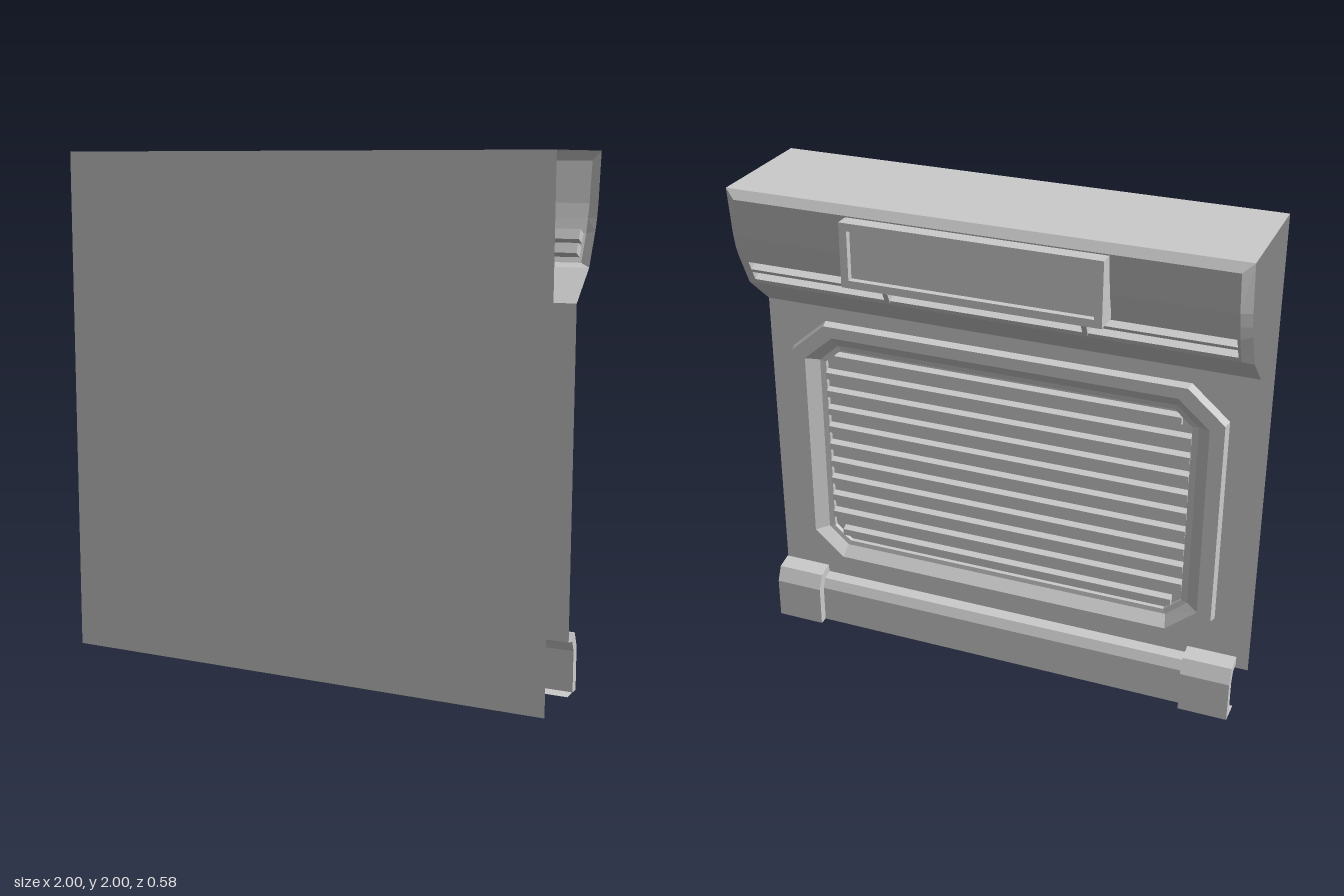
import * as THREE from 'three';

const material = new THREE.MeshStandardMaterial({ color: 0xcccccc, flatShading: true, side: THREE.DoubleSide });

// Surface through rows of [x, y, z] points
function loft(rows) {
  const pos = [];
  for (let i = 0; i < rows.length - 1; i++) {
    for (let j = 0; j < rows[i].length - 1; j++) {
      const a = rows[i][j], b = rows[i + 1][j], c = rows[i + 1][j + 1], d = rows[i][j + 1];
      pos.push(...a, ...b, ...c, ...a, ...c, ...d);
    }
  }
  const geo = new THREE.BufferGeometry();
  geo.setAttribute('position', new THREE.Float32BufferAttribute(pos, 3));
  geo.computeVertexNormals();
  return geo;
}

// Place a [z, y] profile at a given x
const at = (x, profile) => profile.map(([z, y]) => [x, y, z]);
const sweep = (profile, x0 = -1, x1 = 1) => loft([at(x0, profile), at(x1, profile)]);

// Counter-clockwise rectangle with cut corners, centred on height cy
function octagon(w, h, cx, cy0, cy = 0.835) {
  return [[w, -h + cy0], [w, h - cy0], [w - cx, h], [-w + cx, h], [-w, h - cy0],
    [-w, -h + cy0], [-w + cx, -h], [w - cx, -h]].map(([x, y]) => [x, y + cy]);
}
const toShape = pts => new THREE.Shape(pts.map(p => new THREE.Vector2(...p)));
const ring = (pts, z) => [...pts, pts[0]].map(([x, y]) => [x, y, z]);

export function createModel() {
  const model = new THREE.Group();
  function add(name, geo, parent = model) {
    const mesh = new THREE.Mesh(geo, material);
    mesh.name = name;
    parent.add(mesh);
    return mesh;
  }

  // Plain front sheet and top sheet
  add('frontSheet', sweep([[0.29, 0], [0.29, 2]]));
  add('topSheet', sweep([[0.29, 2], [-0.215, 2]]));

  // Curved header with bevelled ends and two long grooves
  const slope = (t, depth) => [-0.18 + 0.43 * t + 0.9 * depth, 1.70 - 0.9 * t + 0.43 * depth];
  const upper = [[-0.215, 2], [-0.235, 1.965], [-0.212, 1.81], [-0.197, 1.755]];
  const lower = [[-0.13, 1.595], [-0.10, 1.58]];
  const body = depth => [...upper,
    slope(0, 0), slope(0, depth), slope(0.04, depth), slope(0.04, 0),
    slope(0.055, 0), slope(0.055, depth), slope(0.095, depth), slope(0.095, 0), ...lower];
  const endSlope = t => [-0.163 + 0.48 * t, 1.71 - 0.99 * t];
  const end = [[-0.215, 2], [-0.215, 2], [-0.192, 1.81], [-0.18, 1.755],
    ...[0, 0, 0.04, 0.04, 0.055, 0.055, 0.095, 0.095].map(endSlope), [-0.10, 1.58], [-0.10, 1.58]];
  add('header', loft([at(-1, end), at(-0.96, body(0)), at(-0.95, body(0)), at(-0.95, body(0.04)),
    at(0.95, body(0.04)), at(0.95, body(0)), at(0.96, body(0)), at(1, end)]));
  add('headerUnderside', sweep([[-0.10, 1.58], [0.035, 1.46]]));

  // Small clips across the grooves
  for (const x of [-0.39, 0.39]) {
    const clip = add('grooveClip', new THREE.BoxGeometry(0.02, 0.11, 0.035));
    const [z, y] = slope(0.05, 0.014);
    clip.position.set(x, y, z);
    clip.rotation.x = -Math.atan2(0.43, 0.9);
  }

  // Sign box with a recessed face
  const sign = new THREE.Group();
  sign.name = 'signBox';
  model.add(sign);
  const border = new THREE.Shape([[-0.5, 1.71], [0.5, 1.71], [0.5, 1.96], [-0.5, 1.96]]
    .map(p => new THREE.Vector2(...p)));
  border.holes.push(new THREE.Path([[-0.47, 1.74], [-0.47, 1.93], [0.47, 1.93], [0.47, 1.74]]
    .map(p => new THREE.Vector2(...p))));
  add('signFrame', new THREE.ExtrudeGeometry(border, { depth: 0.10, bevelEnabled: false }), sign)
    .position.z = -0.29;
  add('signFace', sweep([[-0.265, 1.94], [-0.265, 1.73]], -0.48, 0.48), sign);

  // Lower wall with an opening for the vent
  const outer = octagon(0.9, 0.565, 0.15, 0.13);
  const wall = toShape([[-1, 0.21], [1, 0.21], [1, 1.46], [-1, 1.46]]);
  wall.holes.push(toShape(outer));
  const wallGeo = new THREE.ShapeGeometry(wall).rotateY(Math.PI);
  add('lowerWall', wallGeo).position.z = 0.035;

  // Vent frame: outer wall, flat rim, sloping inner side
  const opening = octagon(0.76, 0.445, 0.07, 0.06);
  add('ventFrame', loft([
    ring(outer, 0.035),
    ring(octagon(0.892, 0.557, 0.148, 0.128), 0),
    ring(octagon(0.835, 0.51, 0.125, 0.108), 0),
    ring(octagon(0.785, 0.465, 0.085, 0.075), 0.035),
    ring(opening, 0.037),
    ring(opening, 0.055),
  ]));
  add('ventBack', new THREE.ShapeGeometry(toShape(opening)).rotateY(Math.PI)).position.z = 0.055;

  // Horizontal vent slats, shortened at the cut corners
  const count = 11, pitch = 0.89 / count;
  for (let i = 0; i < count; i++) {
    const y = 1.28 - pitch * (i + 0.5);
    const w = 0.76 - Math.max(0, Math.abs(y - 0.835) + 0.022 - 0.385);
    const slat = z => [[0.055, y + 0.024], [z, y + 0.014], [z, y - 0.014], [0.055, y - 0.024]];
    add('slat', loft([at(-w, slat(0.055)), at(-w, slat(0.03)), at(w, slat(0.03)), at(w, slat(0.055))]));
  }

  // Bottom bar with a bracket at each end
  add('bottomBar', sweep([[0.035, 0.21], [-0.008, 0.2], [-0.026, 0.16], [-0.026, 0], [0.035, 0]]));
  const bracketShape = toShape([[-0.03, 0.245], [0.035, 0.23], [0.062, 0.17], [0.062, 0],
    [0.026, 0], [0.026, 0.16], [0.008, 0.2], [-0.035, 0.21]]);
  for (const x of [-1, 0.8]) {
    const geo = new THREE.ExtrudeGeometry(bracketShape, { depth: 0.2, bevelEnabled: false });
    add('bracket', geo.rotateY(Math.PI / 2)).position.x = x;
  }

  return model;
}
